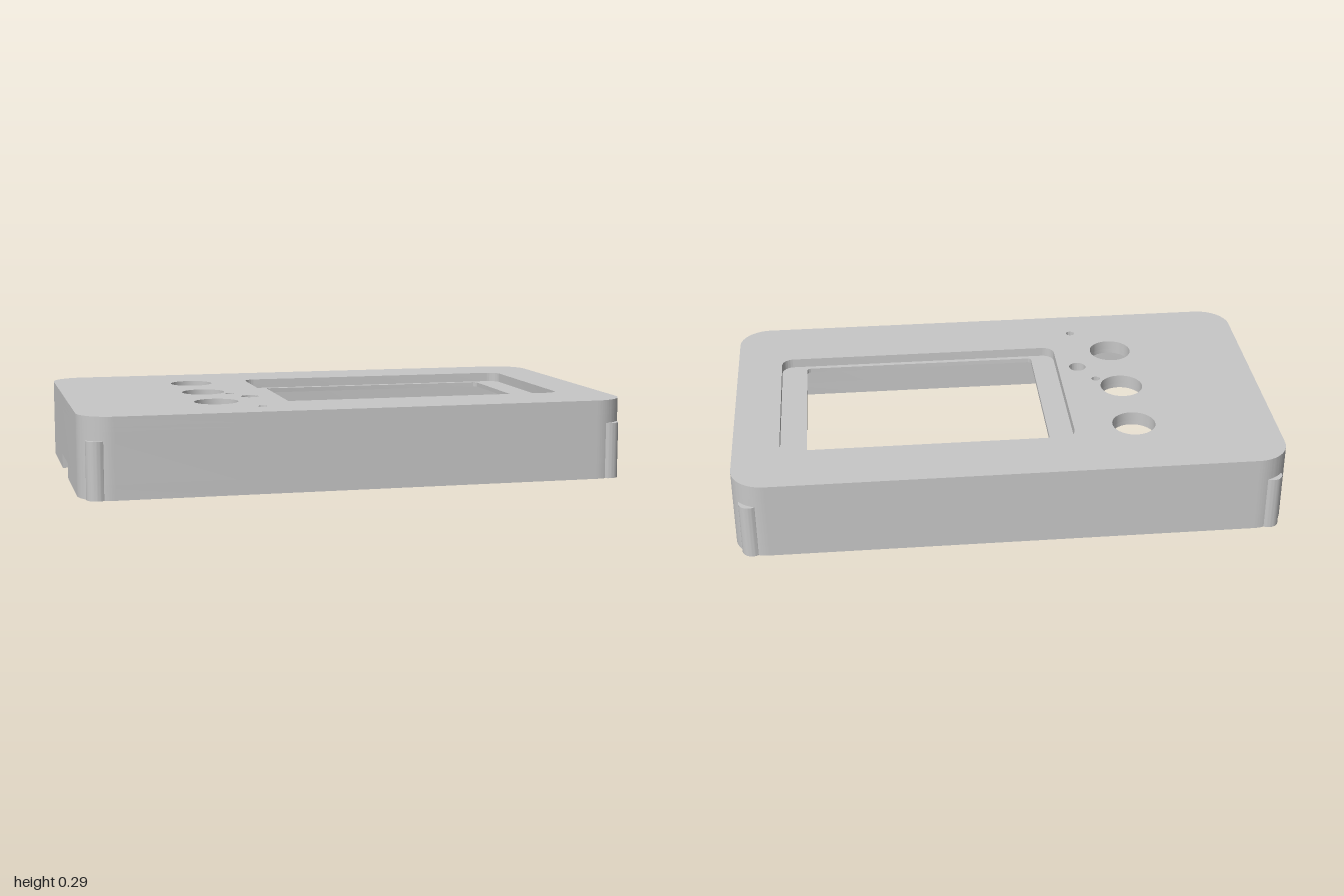
import * as THREE from 'three';
import { toCreasedNormals } from 'three/addons/utils/BufferGeometryUtils.js';

const W = 1, D = 0.59;               // half width and half depth of the case
const R = 0.12, WALL = 0.035, RI = 0.08; // outer corner, wall thickness, inner corner
const NOTCH = 0.055, CEILING = 0.238, LEDGE = 0.255, TOP = 0.29;
const BOSS = { x: 0.938, z: 0.552, r: 0.038, hole: 0.012, top: 0.205 };

// Rounded rectangle traced in plan (x, z)
function roundedRect(path, x0, z0, x1, z1, r) {
  path.moveTo(x0 + r, z0);
  path.absarc(x1 - r, z0 + r, r, -Math.PI / 2, 0);
  path.absarc(x1 - r, z1 - r, r, 0, Math.PI / 2);
  path.absarc(x0 + r, z1 - r, r, Math.PI / 2, Math.PI);
  path.absarc(x0 + r, z0 + r, r, Math.PI, Math.PI * 1.5);
  path.closePath();
  return path;
}

function circle(path, x, z, r) {
  path.absarc(x, z, r, 0, Math.PI * 2);
  return path;
}

// Plan shape raised between two heights
function slab(shape, y0, y1) {
  const g = new THREE.ExtrudeGeometry(shape, { depth: y1 - y0, bevelEnabled: false, curveSegments: 20 });
  g.rotateX(Math.PI / 2).translate(0, y1, 0);
  return toCreasedNormals(g, 0.5);
}

// U-shaped half of the bottom rim; side is +1 front, -1 back
function halfRim(side, zLeft, zRight) {
  const s = new THREE.Shape();
  const xi = W - WALL, zi = D - WALL, q = Math.PI / 2;
  const cw = side < 0;
  s.moveTo(W, zLeft);
  s.lineTo(W, side * (D - R));
  s.absarc(W - R, side * (D - R), R, 0, side * q, cw);
  s.absarc(-W + R, side * (D - R), R, side * q, side * 2 * q, cw);
  s.lineTo(-W, zRight);
  s.lineTo(-xi, zRight);
  s.absarc(-xi + RI, side * (zi - RI), RI, side * 2 * q, side * q, !cw);
  s.absarc(xi - RI, side * (zi - RI), RI, side * q, 0, !cw);
  s.lineTo(xi, zLeft);
  s.closePath();
  for (const sx of [-1, 1]) s.holes.push(circle(new THREE.Path(), sx * BOSS.x, side * BOSS.z, BOSS.hole));
  return s;
}

export function createModel() {
  const model = new THREE.Group();
  model.name = 'enclosureCover';
  const grey = new THREE.MeshStandardMaterial({ color: 0xc8c8c8 });
  grey.name = 'grey plastic';
  const add = (name, geometry) => {
    const mesh = new THREE.Mesh(geometry, grey);
    mesh.name = name;
    model.add(mesh);
  };
  const outline = () => roundedRect(new THREE.Shape(), -W, -D, W, D, R);

  // Bottom rim in two halves, leaving cable notches in both ends
  add('frontRim', slab(halfRim(1, 0.12, 0.12), 0, NOTCH));
  add('backRim', slab(halfRim(-1, -0.21, -0.117), 0, NOTCH));

  // Continuous side wall above the notches
  const wall = outline();
  wall.holes.push(roundedRect(new THREE.Path(), -W + WALL, -D + WALL, W - WALL, D - WALL, RI));
  for (const sx of [-1, 1]) for (const sz of [-1, 1]) {
    wall.holes.push(circle(new THREE.Path(), sx * BOSS.x, sz * BOSS.z, BOSS.hole));
  }
  add('sideWall', slab(wall, NOTCH, CEILING));

  // Top panel: lower layer has the screen opening, upper layer the wider recess
  const buttons = [
    [-0.475, -0.287, 0.08], [-0.475, -0.003, 0.08], [-0.475, 0.283, 0.08],
    [-0.385, 0.062, 0.016], [-0.327, 0.163, 0.032], [-0.336, 0.445, 0.016],
  ];
  const panel = (opening) => {
    const s = outline();
    s.holes.push(opening);
    for (const [x, z, r] of buttons) s.holes.push(circle(new THREE.Path(), x, z, r));
    return s;
  };
  add('screenLedgePanel', slab(panel(roundedRect(new THREE.Path(), -0.16, -0.333, 0.733, 0.314, 0.015)), CEILING, LEDGE));
  add('topPanel', slab(panel(roundedRect(new THREE.Path(), -0.25, -0.358, 0.83, 0.332, 0.045)), LEDGE, TOP));

  // Screw bosses in the four corners
  for (const sx of [-1, 1]) for (const sz of [-1, 1]) {
    const s = circle(new THREE.Shape(), sx * BOSS.x, sz * BOSS.z, BOSS.r);
    s.holes.push(circle(new THREE.Path(), sx * BOSS.x, sz * BOSS.z, BOSS.hole));
    add((sz > 0 ? 'front' : 'back') + (sx > 0 ? 'Left' : 'Right') + 'ScrewBoss', slab(s, 0, BOSS.top));
  }
  return model;
}
